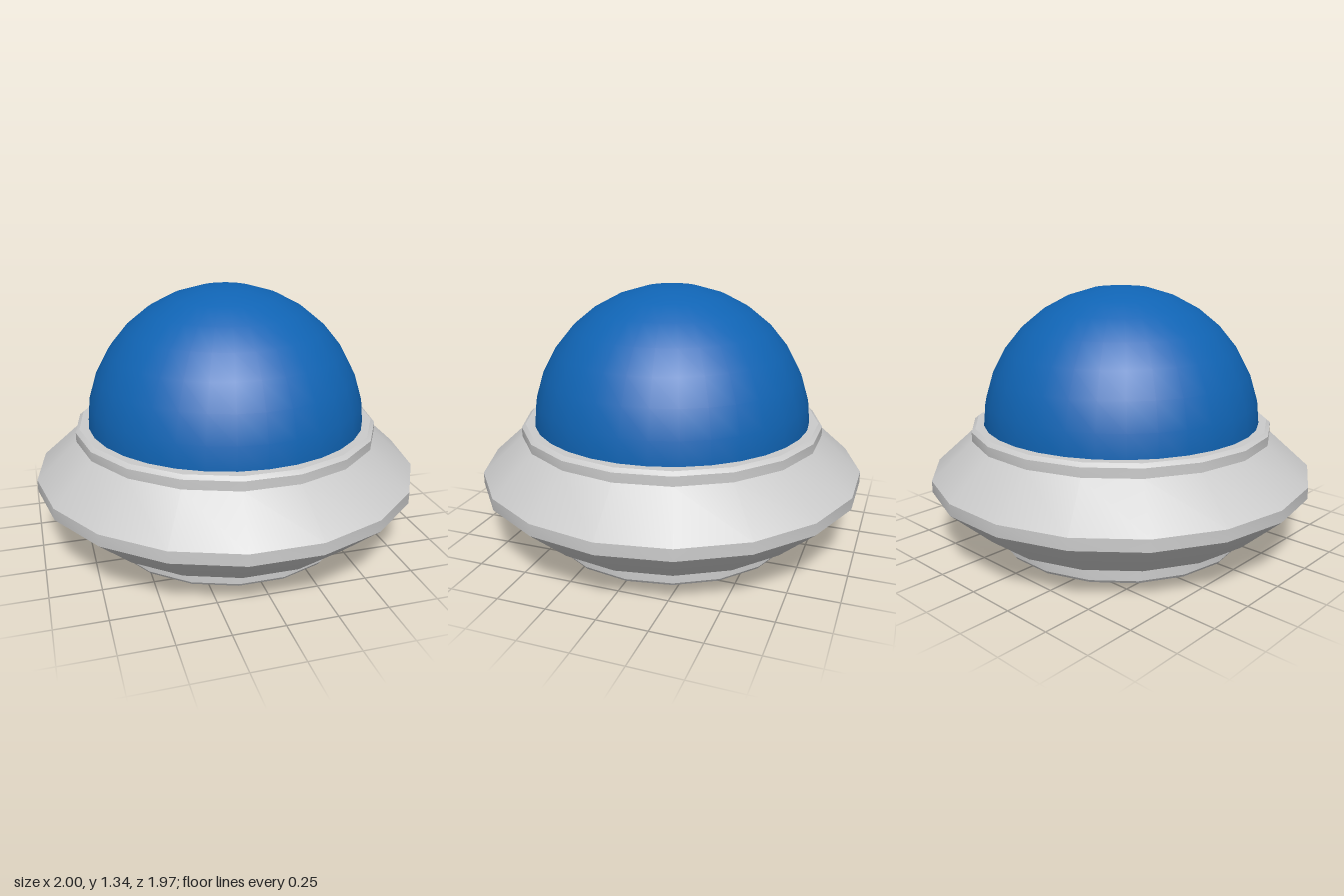
import * as THREE from 'three';
import { toCreasedNormals } from 'three/addons/utils/BufferGeometryUtils.js';

const SIDES = 18;

// Lathe a profile of [radius, height] points, listed from bottom to top
function turned(name, profile, material) {
  const points = profile.map(([r, y]) => new THREE.Vector2(r, y));
  const lathe = new THREE.LatheGeometry(points, SIDES, Math.PI / 2);
  const mesh = new THREE.Mesh(toCreasedNormals(lathe, Math.PI / 6), material);
  mesh.name = name;
  return mesh;
}

export function createModel() {
  const group = new THREE.Group();
  group.name = 'domedSaucer';
  const grey = new THREE.MeshStandardMaterial({ color: 0xcccccc });
  const blue = new THREE.MeshStandardMaterial({ color: 0x1064b4 });

  // Foot with a small bottom bevel
  group.add(turned('base', [[0, 0], [0.655, 0], [0.665, 0.015], [0.665, 0.085]], grey));

  // Wide saucer with a vertical rim
  group.add(turned('hull', [[0.665, 0.085], [0.79, 0.13], [1, 0.32], [1, 0.38], [0.79, 0.57]], grey));

  // Bevelled collar holding the dome
  group.add(turned('collar', [[0.79, 0.57], [0.79, 0.618], [0.77, 0.635], [0.68, 0.635]], grey));

  // Smooth half-sphere dome, its rim sunk into the collar
  const dome = new THREE.Mesh(
    new THREE.SphereGeometry(0.725, 32, 8, 0, Math.PI * 2, 0, Math.PI / 2), blue);
  dome.name = 'dome';
  dome.position.y = 0.61;
  group.add(dome);

  return group;
}
